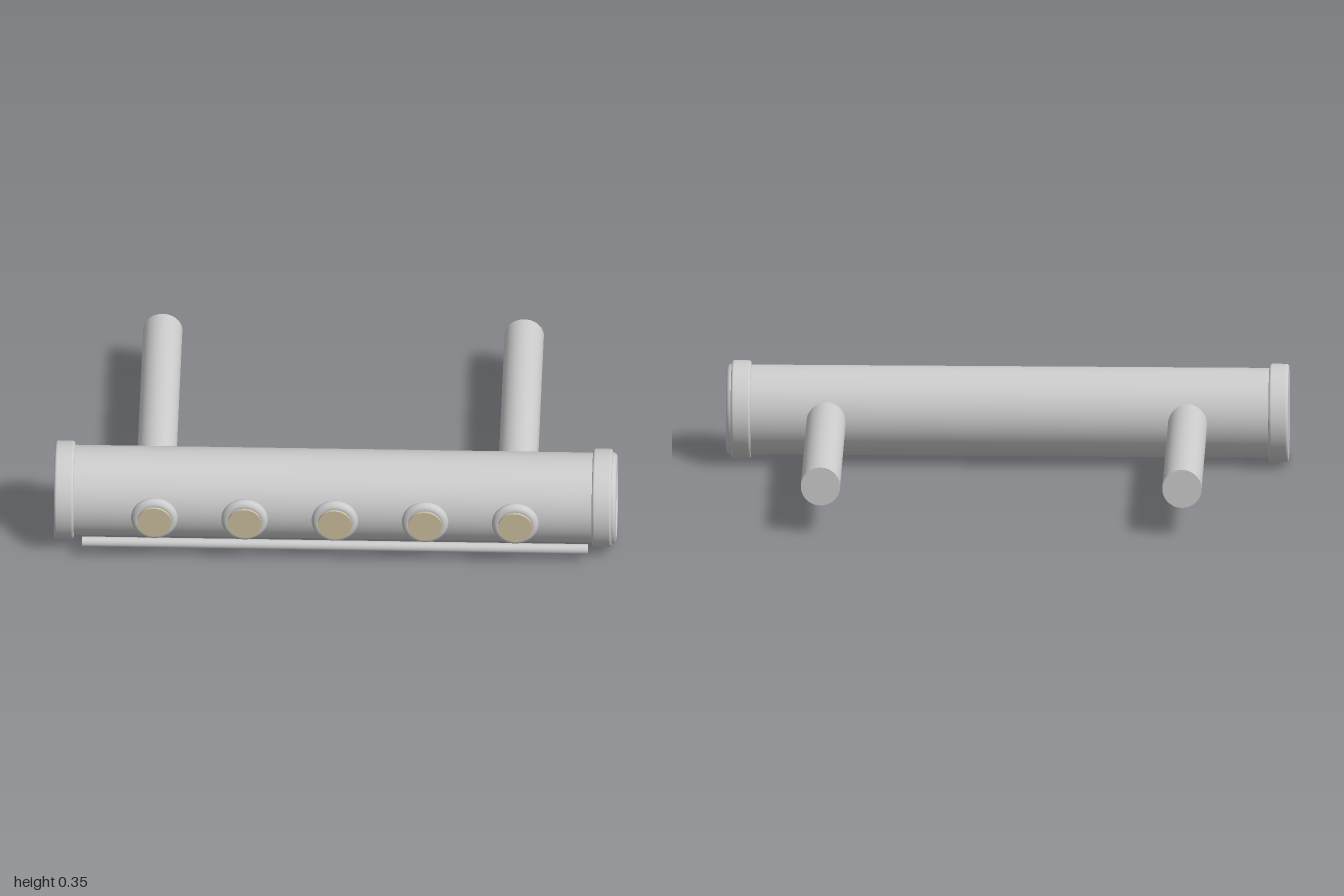
import * as THREE from 'three';

const AXIS_Y = 0.18, AXIS_Z = 0.4;

// Solid disc with rounded rims, turned around y and standing on y = 0
function roundedDisc(radius, height, bevel) {
  const pts = [new THREE.Vector2(0, 0), new THREE.Vector2(radius - bevel - 0.002, 0)];
  const arc = (cy, start) => {
    for (let i = 0; i <= 5; i++) {
      const a = start + (i / 5) * Math.PI / 2;
      pts.push(new THREE.Vector2(radius - bevel + bevel * Math.cos(a), cy + bevel * Math.sin(a)));
    }
  };
  arc(bevel, -Math.PI / 2);
  arc(height - bevel, 0);
  pts.push(new THREE.Vector2(radius - bevel - 0.002, height), new THREE.Vector2(0, height));
  return new THREE.LatheGeometry(pts, 64);
}

export function createModel() {
  const group = new THREE.Group();
  const metal = new THREE.MeshStandardMaterial({ color: 0xcccccc });
  metal.name = 'brushed metal';
  const amber = new THREE.MeshStandardMaterial({ color: 0xccc09f });
  amber.name = 'pale lens';

  const add = (name, geometry, material, x, y, z) => {
    const mesh = new THREE.Mesh(geometry, material);
    mesh.name = name;
    mesh.position.set(x, y, z);
    group.add(mesh);
    return mesh;
  };

  // Main tube and the slim rail below the lenses
  add('mainTube', new THREE.CylinderGeometry(0.16, 0.16, 1.92, 64), metal, 0, AXIS_Y, AXIS_Z)
    .rotation.z = -Math.PI / 2;
  add('lowerRail', new THREE.CylinderGeometry(0.018, 0.018, 1.8, 24), metal, 0, 0.063, 0.553)
    .rotation.z = -Math.PI / 2;

  // End caps; the left one carries a raised rim
  add('rightEndCap', roundedDisc(0.175, 0.07, 0.01), metal, -1, AXIS_Y, AXIS_Z)
    .rotation.z = -Math.PI / 2;
  add('leftEndCap', roundedDisc(0.175, 0.07, 0.01), metal, 0.913, AXIS_Y, AXIS_Z)
    .rotation.z = -Math.PI / 2;
  add('leftEndRim', new THREE.TorusGeometry(0.145, 0.018, 20, 64), metal, 0.982, AXIS_Y, AXIS_Z)
    .rotation.y = Math.PI / 2;

  // Row of ringed lenses along the front
  for (let i = -2; i <= 2; i++) {
    const x = i * 0.321;
    add('lensRing', new THREE.TorusGeometry(0.063, 0.02, 20, 48), metal, x, AXIS_Y, 0.567);
    add('lens', new THREE.CylinderGeometry(0.06, 0.06, 0.077, 48), amber, x, AXIS_Y, 0.5585)
      .rotation.x = Math.PI / 2;
  }

  // Two support arms reaching back
  for (const side of [-1, 1]) {
    add('supportArm', new THREE.CylinderGeometry(0.07, 0.07, 0.897, 48), metal, side * 0.643, AXIS_Y, -0.1485)
      .rotation.x = Math.PI / 2;
  }
  return group;
}
